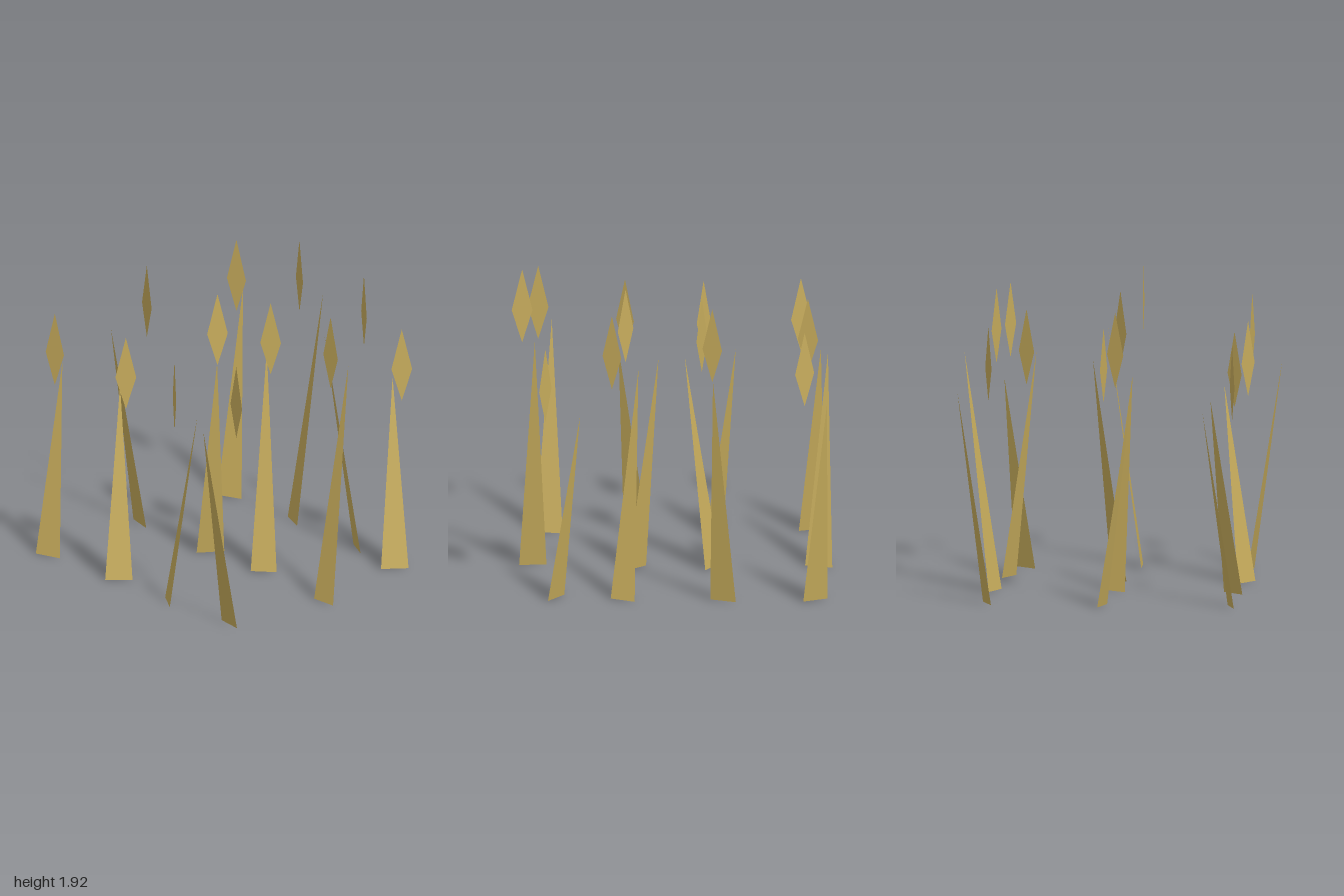
import * as THREE from 'three';

// Each stalk: base corner a (x, z), base corner b (x, z), tip (x, z), tip height
const STALKS = [
  [-0.83, -0.74, -0.98, -0.67, -0.98, -0.88, 1.33],
  [-0.25, -0.70, -0.41, -0.76, -0.27, -0.93, 1.49],
  [0.22, -0.76, 0.37, -0.69, 0.20, -0.54, 1.44],
  [0.76, -0.75, 0.66, -0.61, 0.56, -0.79, 1.21],
  [-1.00, 0.00, -0.83, 0.04, -0.97, 0.21, 1.335],
  [-0.21, -0.07, -0.30, 0.08, -0.08, 0.10, 1.335],
  [0.28, -0.08, 0.16, 0.03, 0.08, -0.17, 1.405],
  [0.95, 0.03, 0.78, 0.04, 0.85, -0.18, 1.515],
  [-0.78, 0.79, -0.94, 0.85, -0.92, 0.65, 1.23],
  [-0.20, 0.69, -0.31, 0.82, -0.39, 0.63, 1.23],
  [0.31, 0.82, 0.16, 0.73, 0.34, 0.62, 1.23],
  [0.69, 0.72, 0.86, 0.74, 0.76, 0.93, 1.33],
];

const HEAD_SHIFT = 0.067; // seed heads stand slightly to the left of their blades
const HEAD_HALF_WIDTH = 0.065;

export function createModel() {
  const model = new THREE.Group();
  model.name = 'tallGrass';
  const straw = new THREE.MeshStandardMaterial({ color: 0xc9ae5d, side: THREE.DoubleSide, flatShading: true });
  straw.name = 'straw';

  // Flat kite, measured from the height of the blade tip
  const kite = new THREE.Shape([
    new THREE.Vector2(0, -0.07),
    new THREE.Vector2(HEAD_HALF_WIDTH, 0.14),
    new THREE.Vector2(0, 0.405),
    new THREE.Vector2(-HEAD_HALF_WIDTH, 0.14),
  ]);
  const headGeometry = new THREE.ShapeGeometry(kite);

  for (const [ax, az, bx, bz, tx, tz, height] of STALKS) {
    const stalk = new THREE.Group();
    stalk.name = 'stalk';

    // Leaning triangular blade
    const bladeGeometry = new THREE.BufferGeometry().setFromPoints([
      new THREE.Vector3(ax, 0, az),
      new THREE.Vector3(bx, 0, bz),
      new THREE.Vector3(tx, height, tz),
    ]);
    bladeGeometry.computeVertexNormals();
    const blade = new THREE.Mesh(bladeGeometry, straw);
    blade.name = 'blade';

    // Upright seed head, turned to match the foot of the blade
    const head = new THREE.Mesh(headGeometry, straw);
    head.name = 'seedHead';
    head.position.set((ax + bx) / 2 + HEAD_SHIFT, height, (az + bz) / 2);
    head.rotation.y = Math.atan2(az - bz, bx - ax);

    stalk.add(blade, head);
    model.add(stalk);
  }
  return model;
}
